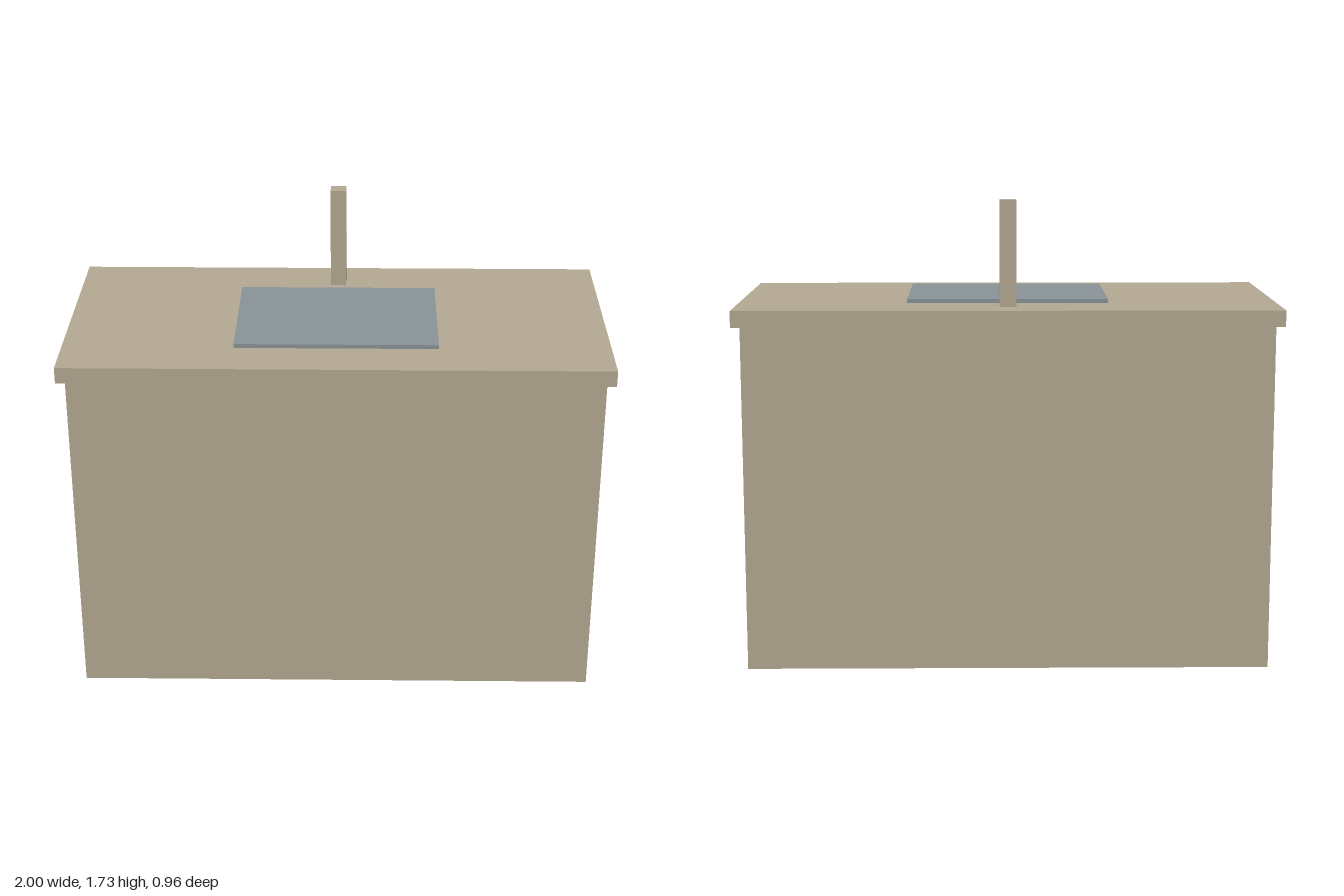
import * as THREE from 'three';

export function createModel() {
  const model = new THREE.Group();
  model.name = 'sinkCabinet';

  const beige = new THREE.MeshStandardMaterial({ color: 0xb6aa93 });
  beige.name = 'beige';
  const greyBlue = new THREE.MeshStandardMaterial({ color: 0x8a9499 });
  greyBlue.name = 'greyBlue';

  // Box resting on height y, centred on x = 0 and the given z
  function addBox(name, material, width, height, depth, y, z = 0) {
    const mesh = new THREE.Mesh(new THREE.BoxGeometry(width, height, depth), material);
    mesh.name = name;
    mesh.position.set(0, y + height / 2, z);
    model.add(mesh);
  }

  const counterBottom = 1.285;
  const counterTop = 1.345;

  // Cabinet body and overhanging worktop
  addBox('cabinet', beige, 1.94, counterBottom, 0.896, 0);
  addBox('countertop', beige, 2, counterTop - counterBottom, 0.956, counterBottom);

  // Sink slab, set slightly towards the front
  addBox('sink', greyBlue, 0.746, 0.015, 0.536, counterTop, 0.028);

  // Square tap post behind the sink
  addBox('faucet', beige, 0.06, 0.388, 0.056, counterTop, -0.328);

  return model;
}
